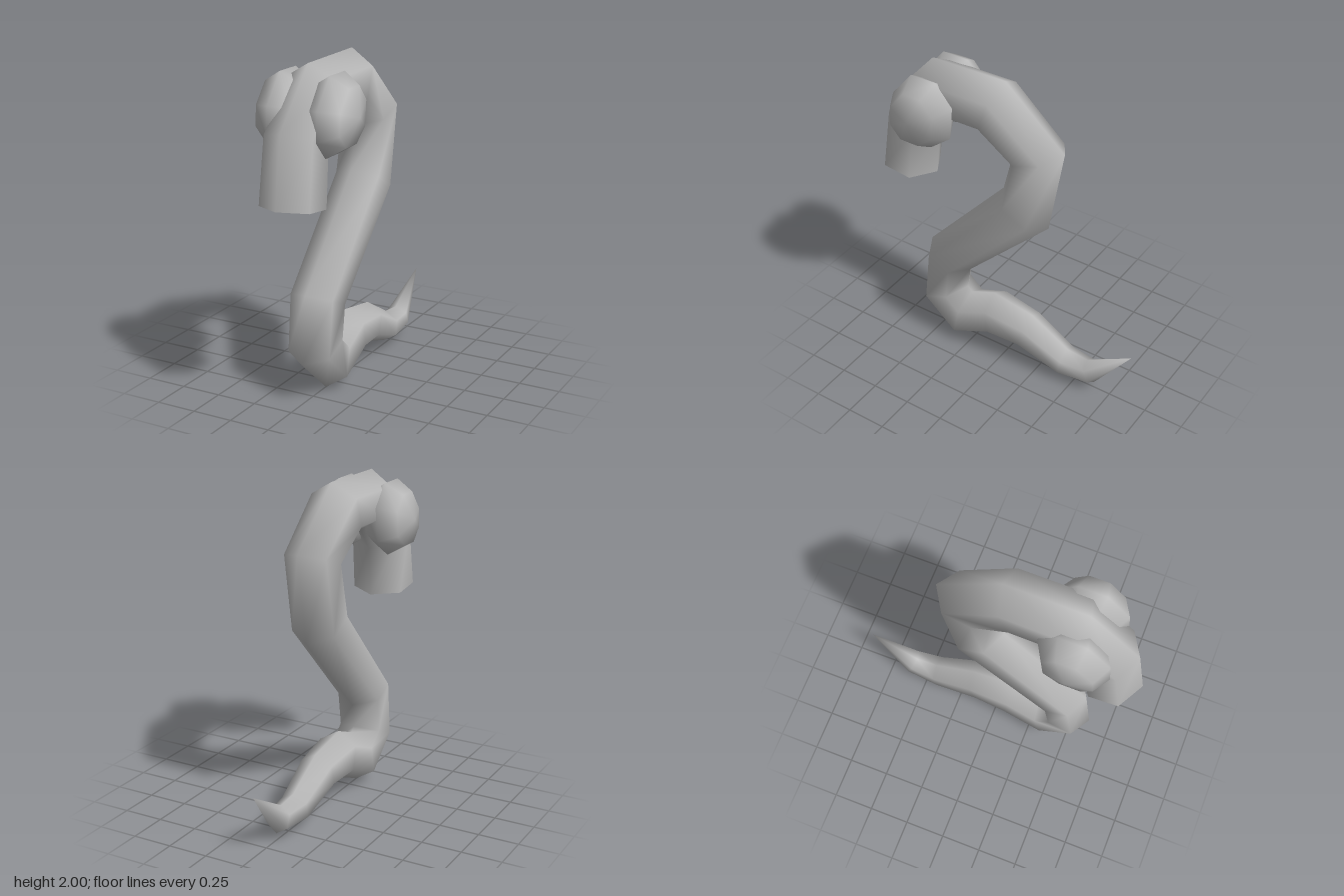
import * as THREE from 'three';
import { mergeVertices } from 'three/addons/utils/BufferGeometryUtils.js';

// Skin a list of point loops (equal length) with smooth normals
function loft(loops) {
  const n = loops[0].length;
  const index = [];
  for (let i = 0; i < loops.length - 1; i++) {
    for (let k = 0; k < n; k++) {
      const a = i * n + k, b = i * n + (k + 1) % n;
      index.push(a, b, b + n, a, b + n, a + n);
    }
  }
  const g = new THREE.BufferGeometry().setFromPoints(loops.flat());
  g.setIndex(index);
  const merged = mergeVertices(g, 1e-5);
  merged.computeVertexNormals();
  return merged;
}

// Hexagonal cross-section from its two in-plane corners (z, y) and half width
function hexLoop([z1, y1, z2, y2, w]) {
  const loop = [];
  for (let k = 0; k < 6; k++) {
    const t = k * Math.PI / 3, c = Math.cos(t);
    loop.push(new THREE.Vector3(
      w * Math.sin(t) / Math.sin(Math.PI / 3),
      (y1 + y2) / 2 + c * (y1 - y2) / 2,
      (z1 + z2) / 2 + c * (z1 - z2) / 2));
  }
  return loop;
}

export function createModel() {
  const group = new THREE.Group();
  const grey = new THREE.MeshStandardMaterial({ color: 0xb8b8b8 });
  grey.name = 'grey';
  const add = (name, geometry) => {
    const mesh = new THREE.Mesh(geometry, grey);
    mesh.name = name;
    group.add(mesh);
  };

  // Body sections from snout to tail tip: z1, y1, z2, y2, half width
  const body = [
    [0.885, 1.24, 0.52, 1.195, 0.162],
    [0.825, 1.655, 0.49, 1.5, 0.155],
    [0.52, 1.99, 0.38, 1.645, 0.152],
    [0.02, 2.0, 0.14, 1.645, 0.15],
    [-0.375, 1.655, -0.03, 1.53, 0.138],
    [-0.28, 1.10, 0.035, 1.27, 0.142],
    [0.29, 0.53, 0.58, 0.66, 0.14],
    [0.31, 0.38, 0.625, 0.25, 0.137],
    [0.28, 0.35, 0.35, 0.005, 0.135],
    [0.11, 0.42, 0.07, 0.125, 0.125],
    [-0.18, 0.37, -0.12, 0.125, 0.105],
    [-0.44, 0.22, -0.41, 0.03, 0.083],
    [-0.58, 0.205, -0.64, 0.05, 0.066],
    [-0.88, 0.375, -0.88, 0.375, 0],
  ].map(hexLoop);
  add('body', loft(body));

  // Flat end of the snout
  const cap = new THREE.BufferGeometry().setFromPoints(body[0]);
  cap.setIndex([0, 5, 4, 0, 4, 3, 0, 3, 2, 0, 2, 1]);
  cap.computeVertexNormals();
  add('snoutEnd', cap);

  // Eyes: flattened eight-sided balls, poles on the x axis
  const outline = [[0.205, 0.055], [0.065, 0.225], [-0.105, 0.225], [-0.215, 0.095],
    [-0.195, -0.115], [-0.055, -0.225], [0.115, -0.225], [0.215, -0.115]];
  for (const side of [1, -1]) {
    const loops = [];
    for (let i = 0; i <= 4; i++) {
      const phi = i * Math.PI / 4, s = Math.sin(phi);
      loops.push(outline.map(([z, y]) => new THREE.Vector3(
        side * 0.156 + 0.154 * Math.cos(phi), 1.715 + y * s, 0.495 + z * s)));
    }
    add(side > 0 ? 'leftEye' : 'rightEye', loft(loops));
  }
  return group;
}
